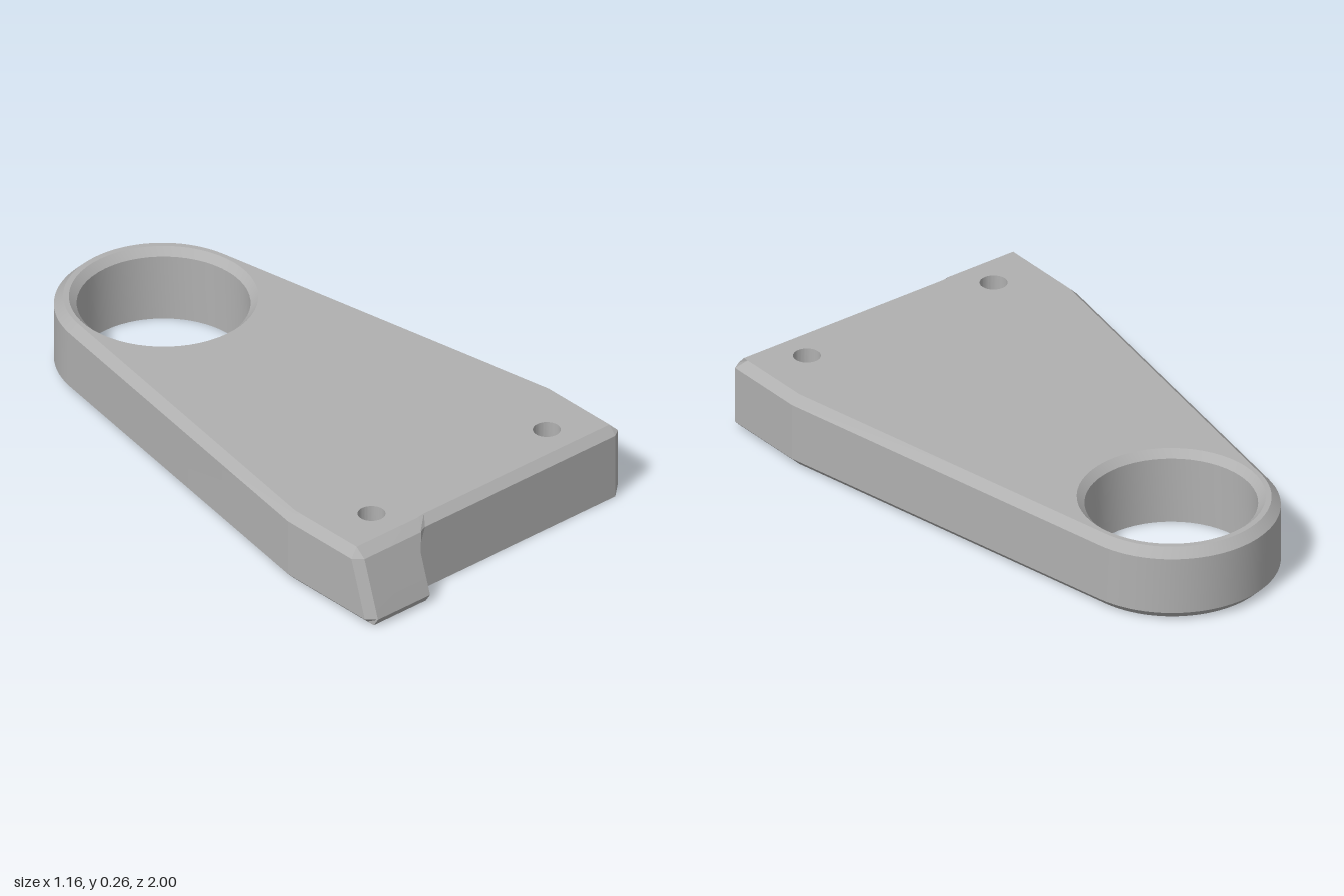
import * as THREE from 'three';
import { toCreasedNormals } from 'three/addons/utils/BufferGeometryUtils.js';

const H = 0.26;          // plate height
const FLOOR = 0.2;       // height of the pocket ceilings
const RING_Z = -0.65;    // centre of the ring end

// Arc of [x, z] points, angles measured from +x towards +z
function arc(cx, cz, r, a0, a1, n) {
  const pts = [];
  for (let i = 0; i <= n; i++) {
    const a = a0 + (a1 - a0) * i / n;
    pts.push([cx + r * Math.cos(a), cz + r * Math.sin(a)]);
  }
  return pts;
}

// Full circle, counter-clockwise from above
const circle = (cx, cz, r, n = 56) => arc(cx, cz, r, 0, -2 * Math.PI, n).slice(0, -1);

// Wall through loops stacked upwards; inward = true for holes and pockets
function wall(levels, inward = false) {
  const pos = [];
  for (let k = 0; k + 1 < levels.length; k++) {
    const [lo, hi] = [levels[k], levels[k + 1]];
    const n = lo.pts.length;
    for (let i = 0; i < n; i++) {
      const j = (i + 1) % n;
      const a = [lo.pts[i][0], lo.y, lo.pts[i][1]];
      const b = [lo.pts[j][0], lo.y, lo.pts[j][1]];
      const c = [hi.pts[j][0], hi.y, hi.pts[j][1]];
      const d = [hi.pts[i][0], hi.y, hi.pts[i][1]];
      pos.push(...(inward ? [a, c, b, a, d, c] : [a, b, c, a, c, d]).flat());
    }
  }
  const g = new THREE.BufferGeometry();
  g.setAttribute('position', new THREE.Float32BufferAttribute(pos, 3));
  return toCreasedNormals(g, 0.15);
}

// Flat horizontal face with holes, facing up or down
function cap(pts, holes, y, down = false) {
  const vec = (p) => p.map(([x, z]) => new THREE.Vector2(x, -z));
  const shape = new THREE.Shape(vec(pts));
  shape.holes = holes.map((h) => new THREE.Path(vec(h)));
  const g = new THREE.ShapeGeometry(shape);
  if (down) {
    g.index.array.reverse();
    const nor = g.attributes.normal;
    for (let i = 0; i < nor.count; i++) nor.setZ(i, -1);
  }
  return g.rotateX(-Math.PI / 2).translate(0, y, 0);
}

// Outer outline: ring end, tapering sides, straight front with a hook on one corner
function outline(inset, frontZ, hookZ, hookX) {
  const t = Math.atan2(1.25, 0.58) - Math.acos(0.35 / Math.hypot(0.58, 1.25));
  const w = 0.58 - inset;
  return [
    ...arc(0, RING_Z, 0.35 - inset, t, -Math.PI - t, 36),
    [-w, 0.6], [-w, hookZ - 0.03], [-0.55, hookZ],
    [hookX, hookZ], [hookX, Math.min(frontZ + 0.012, hookZ - 0.002)],
    [hookX + 0.03, frontZ], [0.55, frontZ], [w, frontZ - 0.02], [w, 0.6],
  ];
}

// Tapered pocket that curves around the ring
function pocketLoop(e) {
  const r = 0.37 + e;
  const a = Math.acos((0.23 - e) / r);
  return [
    [-0.4 + e, 0.63 - e], [0.4 - e, 0.63 - e],
    ...arc(0, RING_Z, r, a, Math.PI - a, 16),
  ];
}

// Front slot, reaching into the hook
const slotLoop = (hookZ) => [
  [-0.49, 0.73], [-0.49, hookZ], [-0.36, hookZ],
  [-0.36, 0.87], [0.48, 0.87], [0.48, 0.73],
];

export function createModel() {
  const group = new THREE.Group();
  const grey = new THREE.MeshStandardMaterial({ color: 0xb0b0b0 });
  grey.name = 'plain grey';
  const add = (name, geometry) => {
    const m = new THREE.Mesh(geometry, grey);
    m.name = name;
    group.add(m);
  };

  // Chamfered outer wall with the sloping hook
  const levels = [
    { y: 0, pts: outline(0.03, 0.92, 0.98, -0.325) },
    { y: 0.03, pts: outline(0, 0.92, 1.0, -0.325) },
    { y: 0.17, pts: outline(0, 0.92, 0.955, -0.325) },
    { y: 0.23, pts: outline(0, 0.92, 0.935, -0.305) },
    { y: H, pts: outline(0.03, 0.892, 0.897, -0.285) },
  ];
  add('outerWall', wall(levels));

  // Large ring hole with a chamfered top rim
  const bore = circle(0, RING_Z + 0.005, 0.28);
  const rim = circle(0, RING_Z + 0.005, 0.305);
  add('ringHole', wall([
    { y: 0, pts: bore }, { y: 0.235, pts: bore }, { y: H, pts: rim },
  ], true));

  // Two screw holes opening into the front slot
  const screws = [-0.38, 0.38].map((x) => circle(x, 0.78, 0.045, 48));
  for (const s of screws) {
    add('screwHole', wall([{ y: FLOOR, pts: s }, { y: H, pts: s }], true));
  }

  // Main pocket on the underside
  const pocket = pocketLoop(0);
  const pocketTop = pocketLoop(0.03);
  add('pocketWall', wall([
    { y: 0, pts: pocket }, { y: 0.17, pts: pocket }, { y: FLOOR, pts: pocketTop },
  ], true));
  add('pocketCeiling', cap(pocketTop, [], FLOOR, true));

  // Front slot on the underside
  const slot = slotLoop(0.95);
  const slotTop = slotLoop(0.9);
  add('slotWall', wall([{ y: 0, pts: slot }, { y: FLOOR, pts: slotTop }], true));
  add('slotCeiling', cap(slotTop, screws, FLOOR, true));

  // Flat top and bottom faces
  add('topFace', cap(levels[4].pts, [rim, ...screws], H));
  add('bottomFace', cap(levels[0].pts, [bore, pocket, slot], 0, true));

  return group;
}
